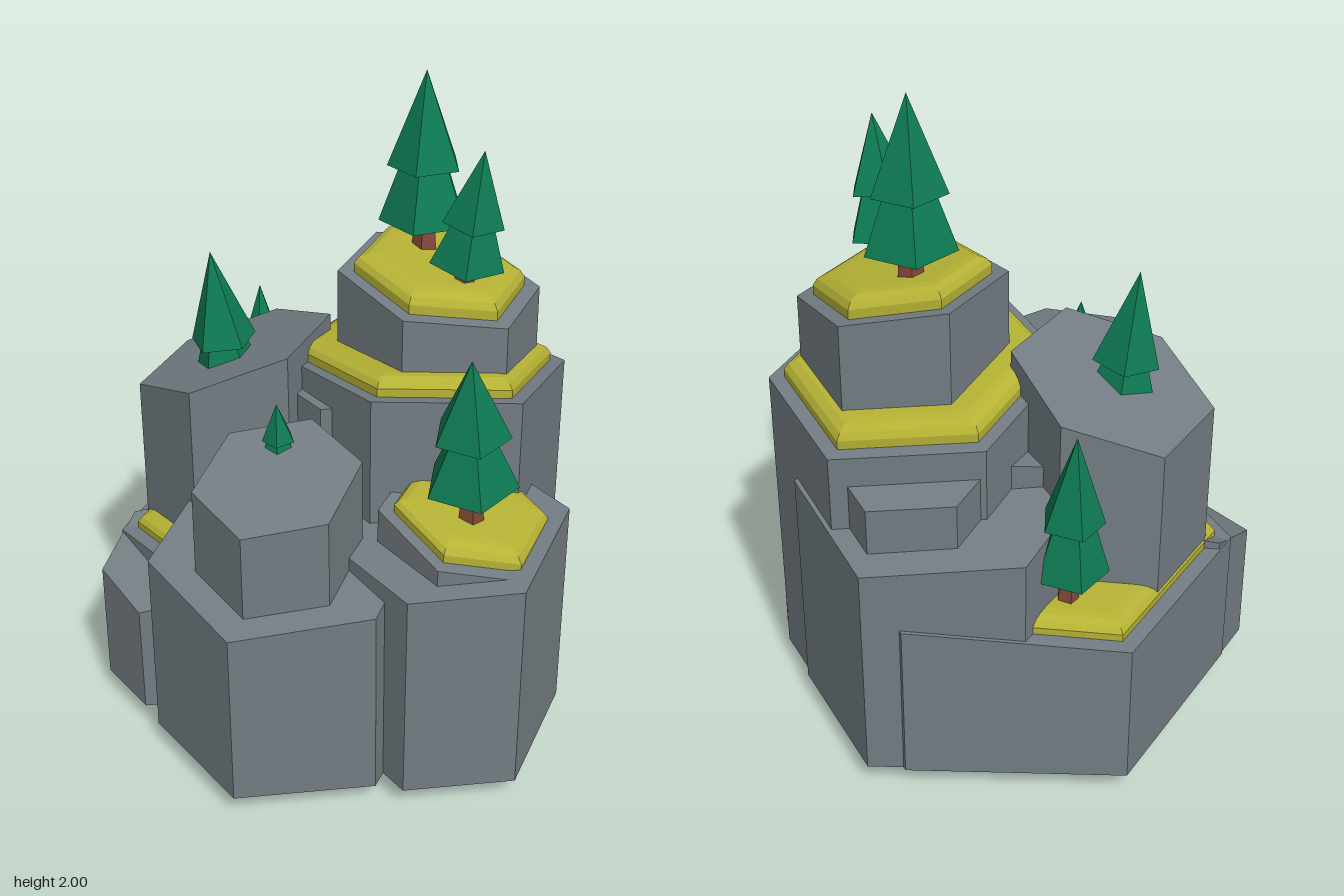
import * as THREE from 'three';

const mat = (name, color) => Object.assign(new THREE.MeshStandardMaterial({ color }), { name });

// Hexagon corners with points at +z and -z, anticlockwise from above
function hexCorners(cx, cz, hw, hz) {
  const s = hz - hw * 0.577;
  return [[0, hz], [hw, s], [hw, -s], [0, -hz], [-hw, -s], [-hw, s]].map(([x, z]) => [cx + x, cz + z]);
}

// Closed solid lofted through rings of 3D corners, with flat faces
function loft(rings) {
  const pos = [], n = rings[0].length, last = rings.length - 1;
  const tri = (...p) => p.forEach((v) => pos.push(...v));
  for (let r = 0; r < last; r++) {
    for (let i = 0; i < n; i++) {
      const j = (i + 1) % n, a = rings[r], b = rings[r + 1];
      tri(a[i], a[j], b[j]);
      tri(a[i], b[j], b[i]);
    }
  }
  for (let i = 1; i < n - 1; i++) {
    tri(rings[last][0], rings[last][i], rings[last][i + 1]);
    tri(rings[0][0], rings[0][i + 1], rings[0][i]);
  }
  const g = new THREE.BufferGeometry();
  g.setAttribute('position', new THREE.Float32BufferAttribute(pos, 3));
  g.computeVertexNormals();
  return g;
}

const BASE = 0.075;

// Rock columns: centre, half width, half depth, height at centre, slope of the top
const COLUMNS = [
  { name: 'frontColumn', cx: -0.05, cz: 0.35, hw: 0.363, h: 0.735, sz: -0.2 },
  { name: 'frontUpperColumn', cx: -0.045, cz: 0.43, hw: 0.212, h: 1.0, sz: -0.25, y0: 0.4 },
  { name: 'leftBaseColumn', cx: -0.125, cz: -0.08, hw: 0.565, h: 0.59, sx: 0.09, inset: 0.045, grass: 0.05 },
  { name: 'leftTallColumn', cx: -0.385, cz: 0, hw: 0.253, hz: 0.305, h: 1.135, sx: 0.38, y0: 0.3 },
  { name: 'backColumn', cx: -0.02, cz: -0.315, hw: 0.402, h: 0.87, sz: 0.21 },
  { name: 'backUpperColumn', cx: 0.01, cz: -0.44, hw: 0.22, h: 0.98, sz: 0.18, y0: 0.4 },
  { name: 'mainColumn', cx: 0.16, cz: -0.215, hw: 0.385, h: 1.11, sz: 0.17, inset: 0.041, grass: 0.06 },
  { name: 'summitColumn', cx: 0.2, cz: -0.22, hw: 0.267, h: 1.385, sx: -0.17, y0: 0.9, inset: 0.042, grass: 0.065 },
  { name: 'rightColumn', cx: 0.4, cz: 0.16, hw: 0.29, hz: 0.385, h: 0.775, sz: -0.04 },
  { name: 'rightUpperColumn', cx: 0.45, cz: 0.15, hw: 0.235, hz: 0.29, h: 0.815, sx: -0.27, y0: 0.4, inset: 0.04, grass: 0.055 },
  { name: 'rightLowColumn', cx: 0.385, cz: -0.235, hw: 0.225, h: 0.425, sz: 0.03 },
  { name: 'leftLowColumn', cx: -0.495, cz: 0.28, hw: 0.19, h: 0.52, sz: -0.38 },
  { name: 'innerColumn', cx: -0.1, cz: -0.02, hw: 0.31, h: 0.95 },
  { name: 'innerUpperColumn', cx: -0.03, cz: -0.03, hw: 0.16, h: 1.08, y0: 0.5 },
];

// Trees: foot and tip positions, foliage radius, spin, height fraction where foliage starts
const TREES = [
  { foot: [0.13, 1.43, -0.275], tip: [0.12, 2.0, -0.285], r: 0.14, spin: 0.1, start: 0.2 },
  { foot: [0.295, 1.4, -0.155], tip: [0.355, 1.845, -0.125], r: 0.115, spin: 0.3, start: 0.2 },
  { foot: [0.465, 0.83, 0.21], tip: [0.47, 1.4, 0.27], r: 0.14, spin: 0.55, start: 0.27 },
  { foot: [-0.45, 0.6, -0.36], tip: [-0.48, 1.17, -0.38], r: 0.115, spin: 0.2, start: 0.2 },
  { foot: [-0.37, 0.9, 0.04], tip: [-0.43, 1.475, 0.05], r: 0.125, spin: -0.2, start: 0.2 },
  { foot: [-0.095, 0.93, 0.3], tip: [-0.095, 1.17, 0.32], r: 0.06, spin: 0.3, start: 0.2 },
];

export function createModel() {
  const rock = mat('rock grey', 0x737d83);
  const moss = mat('moss yellow', 0xb5b235);
  const leaf = mat('pine green', 0x0e7b54);
  const bark = mat('bark brown', 0x86493a);
  leaf.flatShading = bark.flatShading = true;

  const model = new THREE.Group();
  model.name = 'rockyHill';
  const add = (parent, name, geometry, material, x = 0, y = 0, z = 0) => {
    const m = new THREE.Mesh(geometry, material);
    m.name = name;
    m.position.set(x, y, z);
    parent.add(m);
    return m;
  };

  // Columns and their rounded grass caps
  for (const c of COLUMNS) {
    const { cx, cz, hw, h, sx = 0, sz = 0, y0 = BASE, inset, grass } = c;
    const hz = c.hz ?? hw * 1.1547;
    const ring = (shrink, lift) => hexCorners(cx, cz, hw - shrink, hz - shrink * 1.1547)
      .map(([x, z]) => [x, h + lift + sx * (x - cx) + sz * (z - cz), z]);
    const foot = hexCorners(cx, cz, hw + 0.004, hz + 0.004).map(([x, z]) => [x, y0, z]);
    add(model, c.name, loft([foot, ring(0, 0)]), rock);
    if (grass) {
      const steps = [[0, -0.01], [0, 0.45], [0.012, 0.75], [0.035, 0.95], [0.06, 1]];
      const rings = steps.map(([d, f]) => ring(inset + d, f * grass));
      add(model, c.name + 'Grass', loft(rings), moss);
    }
  }

  // Leaning five-sided pines with two tiers of foliage
  TREES.forEach(({ foot, tip, r, spin, start }, i) => {
    const a = new THREE.Vector3(...foot), dir = new THREE.Vector3(...tip).sub(a);
    const len = dir.length();
    const tree = new THREE.Group();
    tree.name = 'pine' + (i + 1);
    tree.position.copy(a);
    tree.quaternion.setFromUnitVectors(new THREE.Vector3(0, 1, 0), dir.normalize());
    const tier = (name, bottom, top, rb, rt, material) => {
      const g = new THREE.CylinderGeometry(rt, rb, (top - bottom) * len, 5);
      add(tree, name, g, material, 0, (top + bottom) / 2 * len, 0).rotation.y = spin;
    };
    tier('trunk', 0, 0.45, r * 0.3, r * 0.16, bark);
    tier('lowerFoliage', start, 0.6, r, r * 0.4, leaf);
    tier('upperFoliage', start + 0.3, 1, r * 0.82, 0, leaf);
    model.add(tree);
  });

  // Mounting plate, pin and earth patch on the underside
  add(model, 'basePlate', new THREE.BoxGeometry(0.34, 0.012, 0.26), rock, 0, 0.066, -0.01);
  add(model, 'pinCollar', new THREE.CylinderGeometry(0.03, 0.018, 0.03, 8), rock, 0, 0.045, 0);
  add(model, 'pin', new THREE.CylinderGeometry(0.01, 0.008, 0.06, 8), rock, 0, 0.03, 0);
  const patch = [[-0.16, 0.2], [-0.2, 0.3], [-0.08, 0.38], [0.08, 0.36], [0.15, 0.27], [0.04, 0.18]];
  add(model, 'earthPatch', loft([0.072, 0.076].map((y) => patch.map(([x, z]) => [x, y, z]))), bark);

  return model;
}
